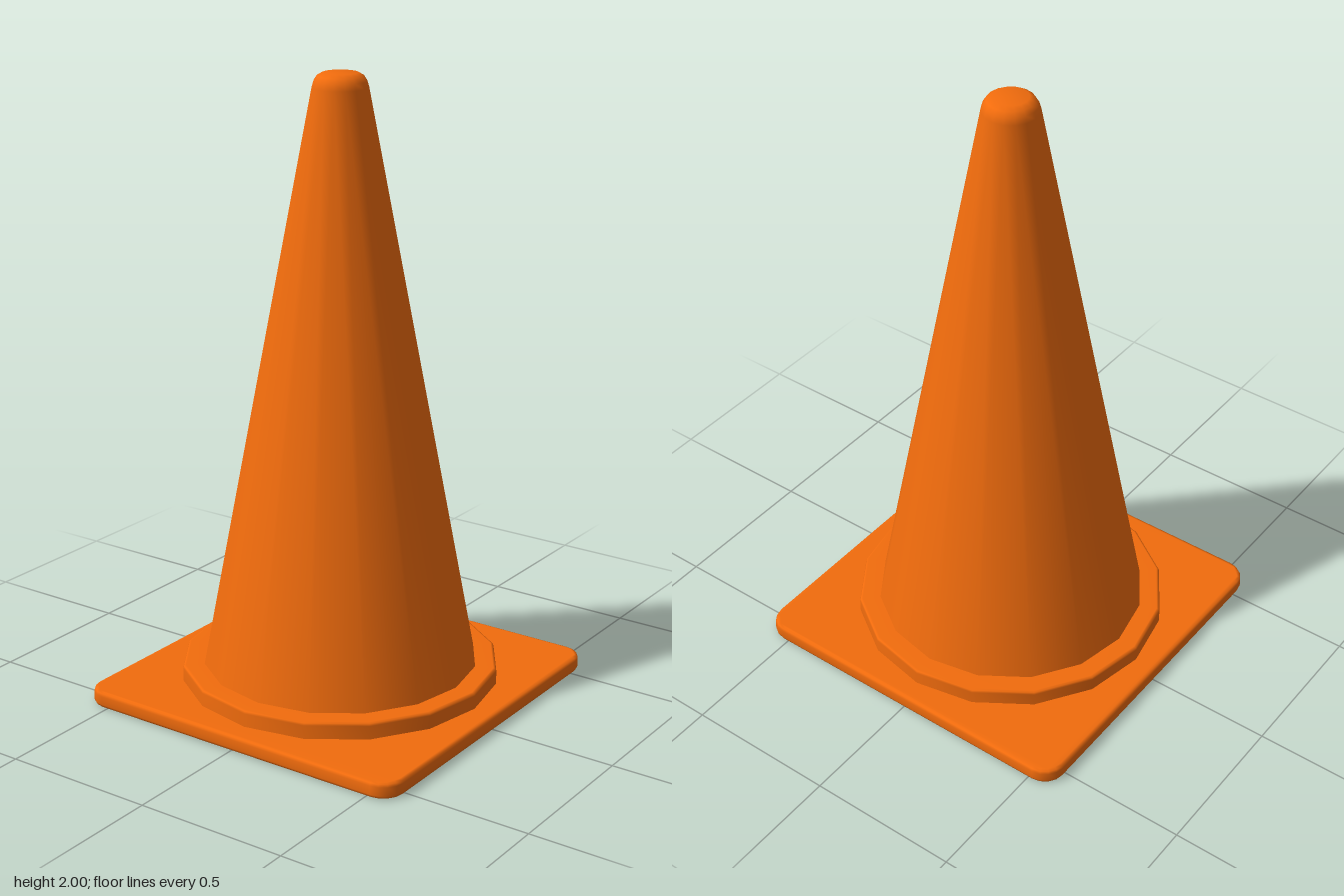
import * as THREE from 'three';
import { mergeVertices } from 'three/addons/utils/BufferGeometryUtils.js';

const SIDES = 16;
const orange = new THREE.MeshStandardMaterial({ color: 0xf26c0d });

// Weld the corners and weight normals by area: flats stay flat, bevels stay soft
function soften(geometry) {
  geometry.deleteAttribute('uv');
  geometry.deleteAttribute('normal');
  const welded = mergeVertices(geometry, 1e-5);
  welded.computeVertexNormals();
  return welded;
}

function part(name, geometry) {
  const mesh = new THREE.Mesh(soften(geometry), orange);
  mesh.name = name;
  return mesh;
}

function lathe(name, profile) {
  const points = profile.map(([r, y]) => new THREE.Vector2(r, y));
  return part(name, new THREE.LatheGeometry(points, SIDES));
}

// Square plate with rounded corners and a bevelled rim
function basePlate() {
  const bevel = 0.012, height = 0.052, h = 0.587 - bevel, r = 0.06;
  const c = h - r;
  const shape = new THREE.Shape();
  [[c, c], [-c, c], [-c, -c], [c, -c]].forEach(([x, y], i) => {
    shape.absarc(x, y, r, i * Math.PI / 2, (i + 1) * Math.PI / 2);
  });
  shape.closePath();
  const geometry = new THREE.ExtrudeGeometry(shape, {
    depth: height - 2 * bevel, curveSegments: 2,
    bevelSize: bevel, bevelThickness: bevel, bevelSegments: 2,
  });
  geometry.rotateX(-Math.PI / 2).translate(0, bevel, 0);
  return part('basePlate', geometry);
}

export function createModel() {
  const group = new THREE.Group();
  group.name = 'trafficCone';
  group.add(basePlate());

  // Raised ring around the foot of the cone
  group.add(lathe('footRing', [
    [0.513, 0.045], [0.513, 0.096], [0.51, 0.103], [0.503, 0.106], [0.40, 0.106],
  ]));

  // Tapered body with a rounded, flat-topped tip
  group.add(lathe('coneBody', [
    [0.445, 0.1], [0.088, 1.955], [0.082, 1.975], [0.072, 1.99], [0.055, 2], [0, 2],
  ]));
  return group;
}
